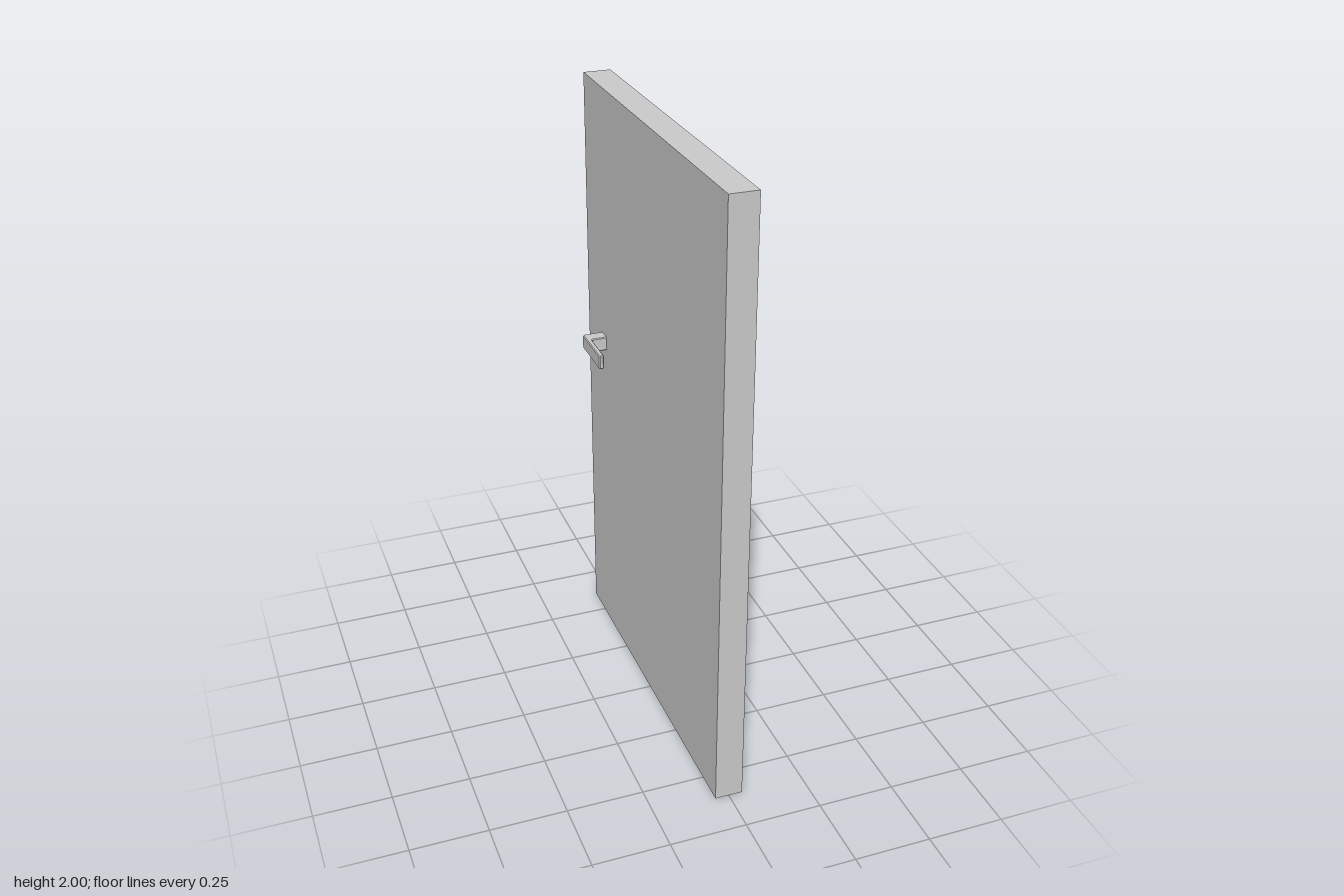
import * as THREE from 'three';

const material = new THREE.MeshStandardMaterial({ color: 0xcccccc, flatShading: true });

// Lever handle: L-shaped plan (x, -z) extruded upward with small bevels
function createHandle(side) {
  const root = 0.04, inner = 0.097, outer = 0.114; // distances from the door's middle plane
  const back = 0.467, neck = 0.42, tip = 0.287;    // distances towards -z
  const c = 0.004, bevel = 0.003, height = 0.048;
  const plan = [
    [root, back], [outer - c, back], [outer, back - c],
    [outer, tip + c], [outer - c, tip], [inner + c, tip], [inner, tip + c],
    [inner, neck - c], [inner - c, neck], [root, neck],
  ];
  const shape = new THREE.Shape(plan.map(([x, z]) => new THREE.Vector2(side * x, z)));
  const geometry = new THREE.ExtrudeGeometry(shape, {
    depth: height - 2 * bevel,
    bevelEnabled: true,
    bevelThickness: bevel,
    bevelSize: bevel,
    bevelOffset: -bevel,
    bevelSegments: 1,
  });
  geometry.rotateX(-Math.PI / 2);
  geometry.translate(0, 1.104 + bevel, 0);
  const handle = new THREE.Mesh(geometry, material);
  handle.name = side > 0 ? 'leftHandle' : 'rightHandle';
  return handle;
}

export function createModel() {
  const model = new THREE.Group();
  model.name = 'door';

  // Door slab
  const panel = new THREE.Mesh(new THREE.BoxGeometry(0.09, 2, 1.215), material);
  panel.name = 'doorPanel';
  panel.position.y = 1;
  model.add(panel);

  // One handle on each face
  for (const side of [1, -1]) model.add(createHandle(side));

  return model;
}
